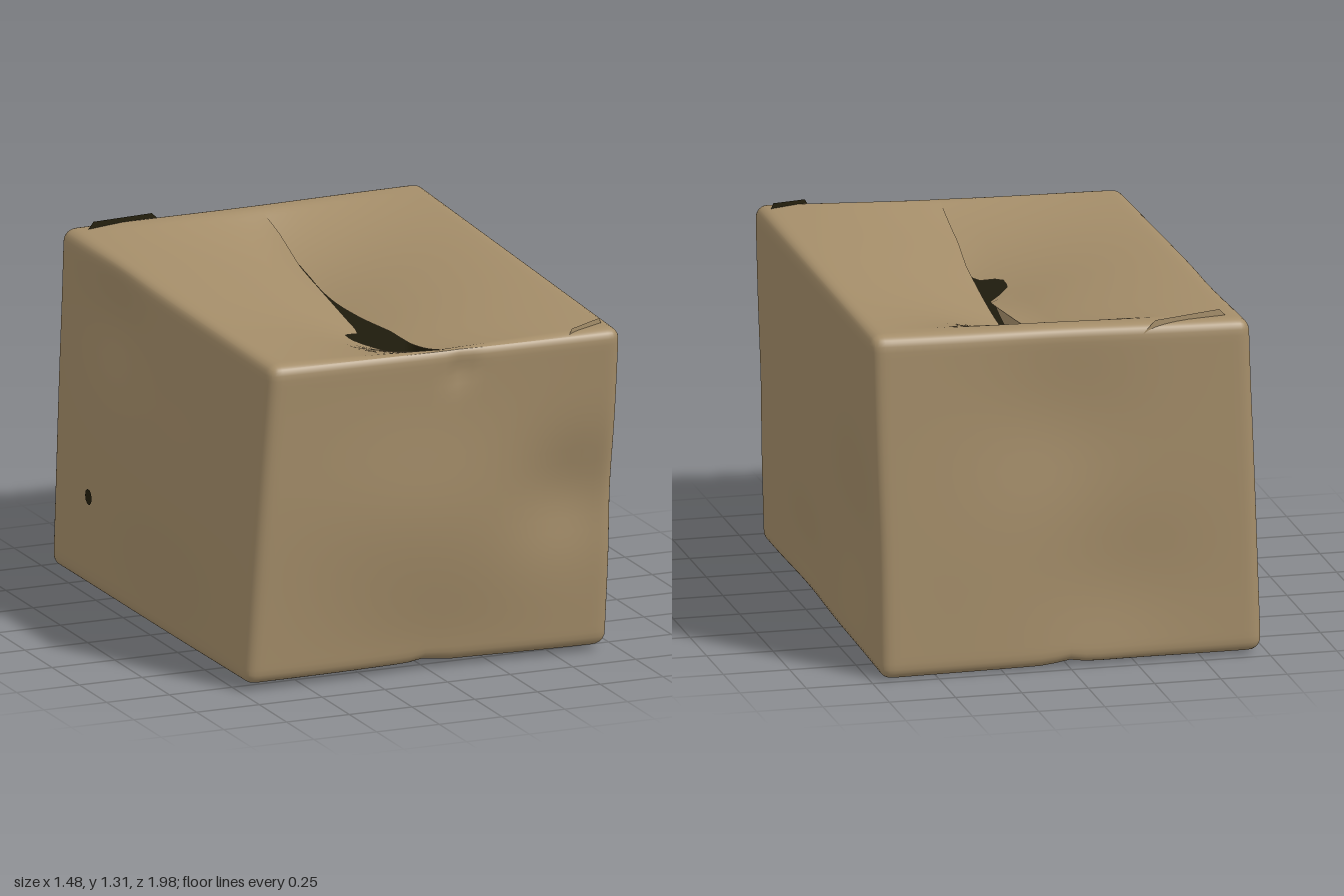
import * as THREE from 'three';
import { mergeGeometries, mergeVertices } from 'three/addons/utils/BufferGeometryUtils.js';

const NX = 40, NY = 36, NZ = 72;
const HALF = [0.72, 0.64, 0.95], ROUND = 0.05;

// Battered carton corners: [x, y, z], left and right by sign of x
const CORNERS = {
  '-1,1,1': [-0.67, 1.255, 0.92], '1,1,1': [0.70, 1.27, 1.0],
  '-1,1,-1': [-0.68, 1.29, -0.995], '1,1,-1': [0.745, 1.31, -0.96],
  '-1,-1,1': [-0.735, 0.03, 0.845], '1,-1,1': [0.705, 0.025, 0.855],
  '-1,-1,-1': [-0.73, 0.015, -0.975], '1,-1,-1': [0.715, 0.005, -0.985],
};

// Soft dents and bulges: centre, radii, push
const DENTS = [
  [[-0.1, 0.62, 0.92], [0.4, 0.32, 0.3], [0, 0, 0.03]],
  [[0.05, 0.05, 0.86], [0.35, 0.25, 0.3], [0, 0, -0.025]],
  [[0.52, 0.64, 0.95], [0.2, 0.2, 0.3], [0, 0, -0.04]],
  [[0.08, 1.17, 0.95], [0.04, 0.06, 0.1], [0, 0, -0.02]],
  [[0.72, 0.45, -0.55], [0.35, 0.3, 0.35], [-0.02, 0, 0]],
  [[0.72, 0.15, 0.2], [0.3, 0.2, 0.35], [-0.015, 0, 0]],
  [[0.05, 0.95, -0.98], [0.3, 0.3, 0.3], [0, 0, 0.03]],
  [[-0.2, 0.3, -0.98], [0.3, 0.28, 0.3], [0, 0, 0.025]],
  [[-0.72, 0.55, 0.1], [0.3, 0.4, 0.6], [-0.02, 0, 0]],
  [[-0.7, 1.05, -0.5], [0.3, 0.18, 0.25], [0.03, 0, 0]],
  [[0, 0, 0], [0.05, 0.1, 9], [0, 0.015, 0]], // seam between the bottom flaps
];

const clamp = THREE.MathUtils.clamp;

// Maps a point on the [-1, 1] cube to the rounded, warped, dented carton
function form(s, t, r, side = 0) {
  let [a, b, c] = [s, t, r].map((v) => Math.sin(v * Math.PI / 2));
  if (side) {
    // torn opening between the two top flaps
    const z = c * 0.95, ends = 1 - Math.abs(c) ** 8;
    const gap = 0.018 * clamp((z + 0.72) * 4, 0, 1) * clamp((0.6 - z) * 4, 0, 1);
    let edge = 0.032 - 0.04 * z + side * gap;
    if (side < 0) edge -= 0.09 * Math.exp(-(((z - 0.25) / 0.1) ** 4));
    a += (edge / 0.7) * ends * (1 - Math.abs(a));
  }
  const p = [a, b, c].map((v, i) => v * HALF[i]);
  const core = p.map((v, i) => clamp(v, ROUND - HALF[i], HALF[i] - ROUND));
  const d = p.map((v, i) => v - core[i]);
  const len = Math.hypot(...d);
  const n = core.map((v, i) => (v + d[i] / len * ROUND) / HALF[i]);

  // blend of the eight corners
  const q = [0, 0, 0];
  for (const [key, pos] of Object.entries(CORNERS)) {
    const k = key.split(',').map(Number);
    const w = k.reduce((m, sign, i) => m * (1 + sign * n[i]) / 2, 1);
    pos.forEach((v, i) => { q[i] += v * w; });
  }
  const base = [...q];
  for (const [o, rad, push] of DENTS) {
    const e = Math.exp(-base.reduce((m, v, i) => m + ((v - o[i]) / rad[i]) ** 2, 0));
    push.forEach((v, i) => { q[i] += v * e; });
  }
  // the top flaps sink towards the opening, each deeper at one end
  if (side) {
    const along = c < 0 ? Math.max(0, 1 - Math.abs(c / 0.9) ** 3) : 1 - c * c;
    const depth = 0.175 - side * 0.035 * Math.sin(c * Math.PI);
    q[1] -= depth * along * Math.max(0, 1 - Math.abs(a)) ** 1.5;
  }
  // one bottom flap tucks up behind the other
  if (b === -1 && a < 0) q[1] += 0.045 * (1 + a) * (1 - c * c);
  return q;
}

// Grid surface; its front faces along du x dv
function patch(nu, nv, fn) {
  const pos = [], index = [];
  for (let j = 0; j <= nv; j++) {
    for (let i = 0; i <= nu; i++) pos.push(...fn(2 * i / nu - 1, 2 * j / nv - 1));
  }
  for (let j = 0; j < nv; j++) {
    for (let i = 0; i < nu; i++) {
      const k = j * (nu + 1) + i, m = k + nu + 1;
      index.push(k, k + 1, m + 1, k, m + 1, m);
    }
  }
  const g = new THREE.BufferGeometry();
  g.setAttribute('position', new THREE.Float32BufferAttribute(pos, 3));
  g.setIndex(index);
  g.computeVertexNormals();
  return g;
}

export function createModel() {
  const cardboard = new THREE.MeshStandardMaterial({ color: 0xa48d69 });
  cardboard.name = 'cardboard';
  const darkInside = new THREE.MeshStandardMaterial({ color: 0x231f0c, side: THREE.BackSide });
  darkInside.name = 'dark inside';

  // Four walls, the base and two sagging top flaps, welded for smooth edges
  const parts = [
    patch(NX, NY, (u, v) => form(u, v, 1)),
    patch(NX, NY, (u, v) => form(-u, v, -1)),
    patch(NZ, NY, (u, v) => form(1, v, -u)),
    patch(NZ, NY, (u, v) => form(-1, v, u)),
    patch(NX, NZ, (u, v) => form(u, -1, v)),
    patch(NX / 2, NZ, (u, v) => form((u - 1) / 2, 1, -v, -1)),
    patch(NX / 2, NZ, (u, v) => form((u + 1) / 2, 1, -v, 1)),
  ];
  parts.forEach((g) => g.deleteAttribute('normal'));
  const shell = mergeVertices(mergeGeometries(parts), 1e-4);
  shell.computeVertexNormals();

  const model = new THREE.Group();
  model.name = 'cardboardBox';
  const add = (name, geometry, material) => {
    const mesh = new THREE.Mesh(geometry, material);
    mesh.name = name;
    model.add(mesh);
    return mesh;
  };
  add('boxOutside', shell, cardboard);
  add('boxInside', shell, darkInside);

  // Edge of the higher flap, bent down into the opening
  add('bentFlapEdge', patch(32, 2, (u, v) => {
    const [x, y, z] = form(0, 1, -0.38 - 0.38 * u, -1);
    return [x, y + (v - 1) * 0.05 * (1 - u * u), z];
  }), cardboard);

  // Folded-up corner tabs, dark on the side facing the box
  const tab = (width, position, turn) => {
    const shape = new THREE.Shape([[-0.5, 0], [0.5, 0], [0.36, 0.055], [-0.36, 0.045]]
      .map(([x, y]) => new THREE.Vector2(x * width, y)));
    for (const material of [cardboard, darkInside]) {
      const mesh = add('cornerTab', new THREE.ShapeGeometry(shape), material);
      mesh.position.set(...position);
      mesh.rotation.y = turn;
    }
  };
  tab(0.36, [-0.45, 1.26, -0.945], Math.PI + 0.2);
  tab(0.2, [0.58, 1.235, 0.93], 0.4);

  // Small puncture in the right wall
  const hole = add('puncture', new THREE.CircleGeometry(0.03, 10), darkInside);
  hole.rotation.y = Math.PI / 2; // back of the disc looks outwards
  const at = form(-1, -0.3, -0.42);
  hole.position.set(at[0] - 0.006, at[1], at[2]);
  return model;
}
